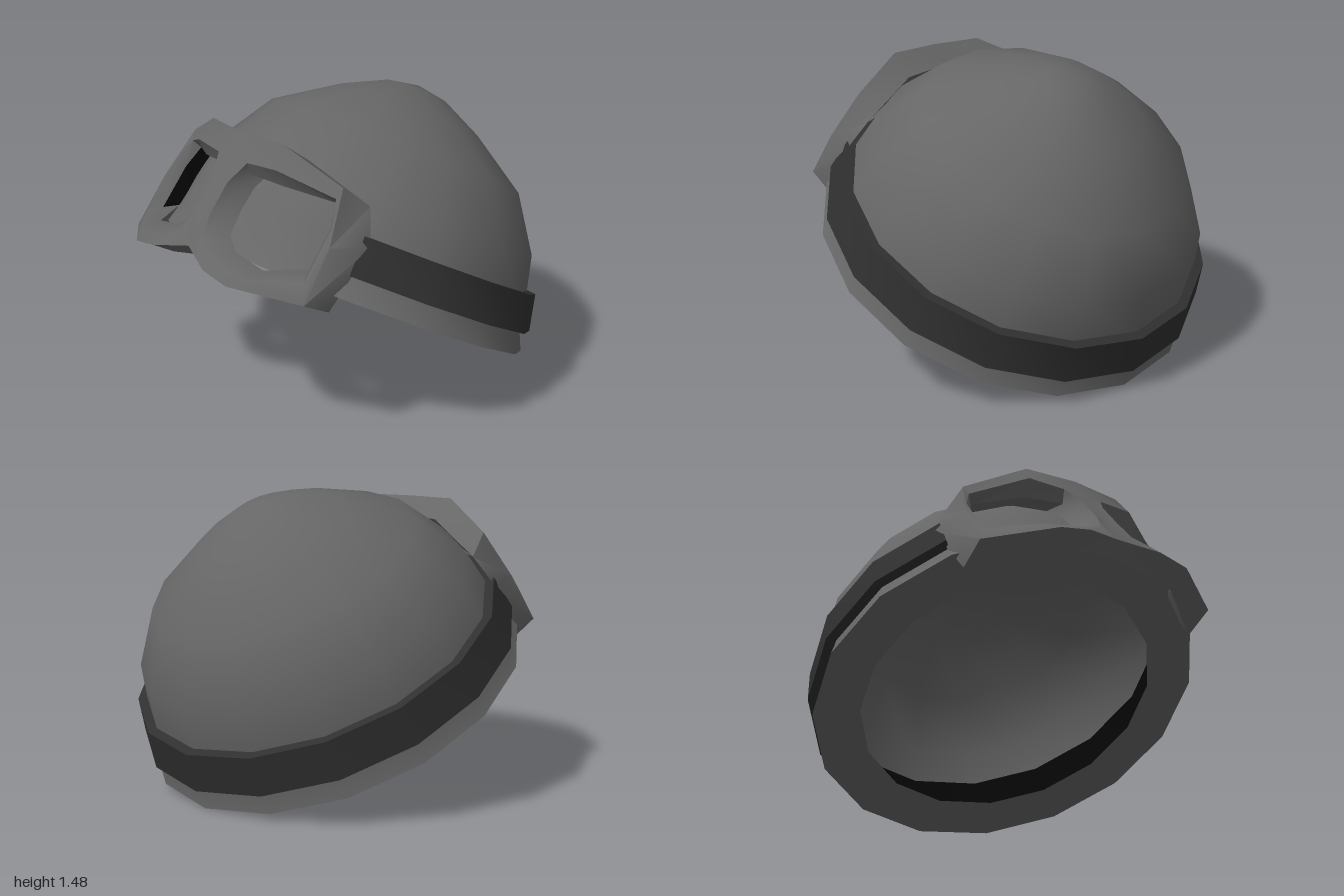
import * as THREE from 'three';
import { toCreasedNormals } from 'three/addons/utils/BufferGeometryUtils.js';

const material = (name, color) => {
  const m = new THREE.MeshStandardMaterial({ color });
  m.name = name;
  return m;
};

export function createModel() {
  const grey = material('shell grey', 0x666666);
  const dark = material('strap dark grey', 0x303030);
  const black = material('lining black', 0x060606);
  const model = new THREE.Group();
  model.name = 'helmetWithGoggles';

  const addMesh = (parent, name, geometry, mat, crease) => {
    const mesh = new THREE.Mesh(toCreasedNormals(geometry, crease), mat);
    mesh.name = name;
    parent.add(mesh);
  };
  const toVectors = points => points.map(p => new THREE.Vector2(...p));
  const fullLathe = points => new THREE.LatheGeometry(toVectors(points), 16);
  // Three quarters of a turn, open at the front
  const openLathe = points =>
    new THREE.LatheGeometry(toVectors(points), 12, Math.PI / 4, Math.PI * 1.5);

  // Helmet, tilted back as one unit
  const helmet = new THREE.Group();
  helmet.name = 'helmet';
  helmet.position.set(0, 0.465, -0.02);
  helmet.rotation.x = THREE.MathUtils.degToRad(-28.2);
  model.add(helmet);

  // Shell: flat underside rim, flared edge and dome
  addMesh(helmet, 'shell', fullLathe([
    [0.75, 0], [0.985, 0], [0.94, 0.1], [0.915, 0.25], [0.86, 0.48],
    [0.68, 0.755], [0.375, 0.955], [0.165, 1.056], [0, 1.087]
  ]), grey, 0.9);
  addMesh(helmet, 'innerShell', fullLathe([
    [0, 1.06], [0.36, 0.93], [0.66, 0.735], [0.84, 0.47], [0.9, 0.3]
  ]), grey, 0.9);
  addMesh(helmet, 'innerRim', openLathe([[0.93, 0.1], [0.975, 0]]), grey, 0.6);

  // Strap: runs round the back from one side of the goggles to the other
  addMesh(helmet, 'strap', openLathe([
    [0.93, 0.11], [0.99, 0.11], [0.95, 0.3], [0.9, 0.3]
  ]), dark, 0.6);
  addMesh(helmet, 'strapLining', openLathe([[0.9, 0.3], [0.93, 0.1]]), black, 0.6);

  // Goggle frame, +x half: loops run from the top of the nose round the lens
  const front = [
    [0, 1.41, 0.6], [0.27, 1.41, 0.57], [0.57, 1.26, 0.47], [0.645, 1.03, 0.615], [0.66, 0.8, 0.78],
    [0.36, 0.855, 0.985], [0.2, 0.885, 0.995], [0, 0.925, 0.93], [0, 1.05, 0.85], [0, 1.25, 0.71]
  ];
  const opening = [
    [0.11, 1.3, 0.66], [0.3, 1.31, 0.64], [0.555, 1.21, 0.5], [0.612, 1.1, 0.575], [0.615, 0.885, 0.74],
    [0.42, 0.885, 0.92], [0.2, 0.925, 0.95], [0.09, 0.97, 0.92], [0.06, 1.07, 0.85], [0.06, 1.21, 0.74]
  ];
  const lip = [
    [0.1, 1.235, 0.63], [0.3, 1.225, 0.6], [0.525, 1.175, 0.47], [0.565, 1.08, 0.54], [0.565, 0.895, 0.69],
    [0.42, 0.9, 0.85], [0.22, 0.94, 0.88], [0.13, 0.99, 0.86], [0.09, 1.08, 0.8], [0.08, 1.17, 0.72]
  ];
  const back = [
    [0, 1.32, 0.5], [0.28, 1.31, 0.435], [0.61, 1.15, 0.34], [0.7, 0.995, 0.42], [0.655, 0.723, 0.63],
    [0.36, 0.79, 0.86], [0.2, 0.82, 0.88], [0, 0.865, 0.87], [0, 1.0, 0.79], [0, 1.2, 0.62]
  ];
  // Rear edge of the opening: narrower than the lip and set back towards the shell
  const depths = [0.1, 0.1, 0.1, 0.1, 0.08, 0.04, 0.05, 0.06, 0.09, 0.1];
  const recess = lip.map(([x, y, z], i) => [x + (0.33 - x) * 0.12, y, z - depths[i]]);
  const loops = [front, opening, lip, recess, back, front];
  const isLining = (ring, i) => ring === 2 && (i === 2 || i === 3);

  // Joins neighbouring loops with quads and mirrors them to the other half
  const frameGeometry = keep => {
    const positions = [];
    for (let ring = 0; ring < 5; ring++) {
      for (let i = 0; i < 10; i++) {
        const onMiddle = ring === 4 && i >= 7;
        if (onMiddle || !keep(ring, i)) continue;
        const j = (i + 1) % 10;
        const [a, b, c, d] = [loops[ring][i], loops[ring + 1][i], loops[ring + 1][j], loops[ring][j]];
        const corners = [a, b, c, a, c, d];
        corners.forEach(p => positions.push(...p));
        corners.reverse().forEach(([x, y, z]) => positions.push(-x, y, z));
      }
    }
    const g = new THREE.BufferGeometry();
    g.setAttribute('position', new THREE.Float32BufferAttribute(positions, 3));
    return g;
  };
  const goggles = new THREE.Group();
  goggles.name = 'goggles';
  model.add(goggles);
  addMesh(goggles, 'goggleFrame', frameGeometry((r, i) => !isLining(r, i)), grey, 0.85);
  addMesh(goggles, 'goggleLining', frameGeometry(isLining), black, 0.85);

  return model;
}
